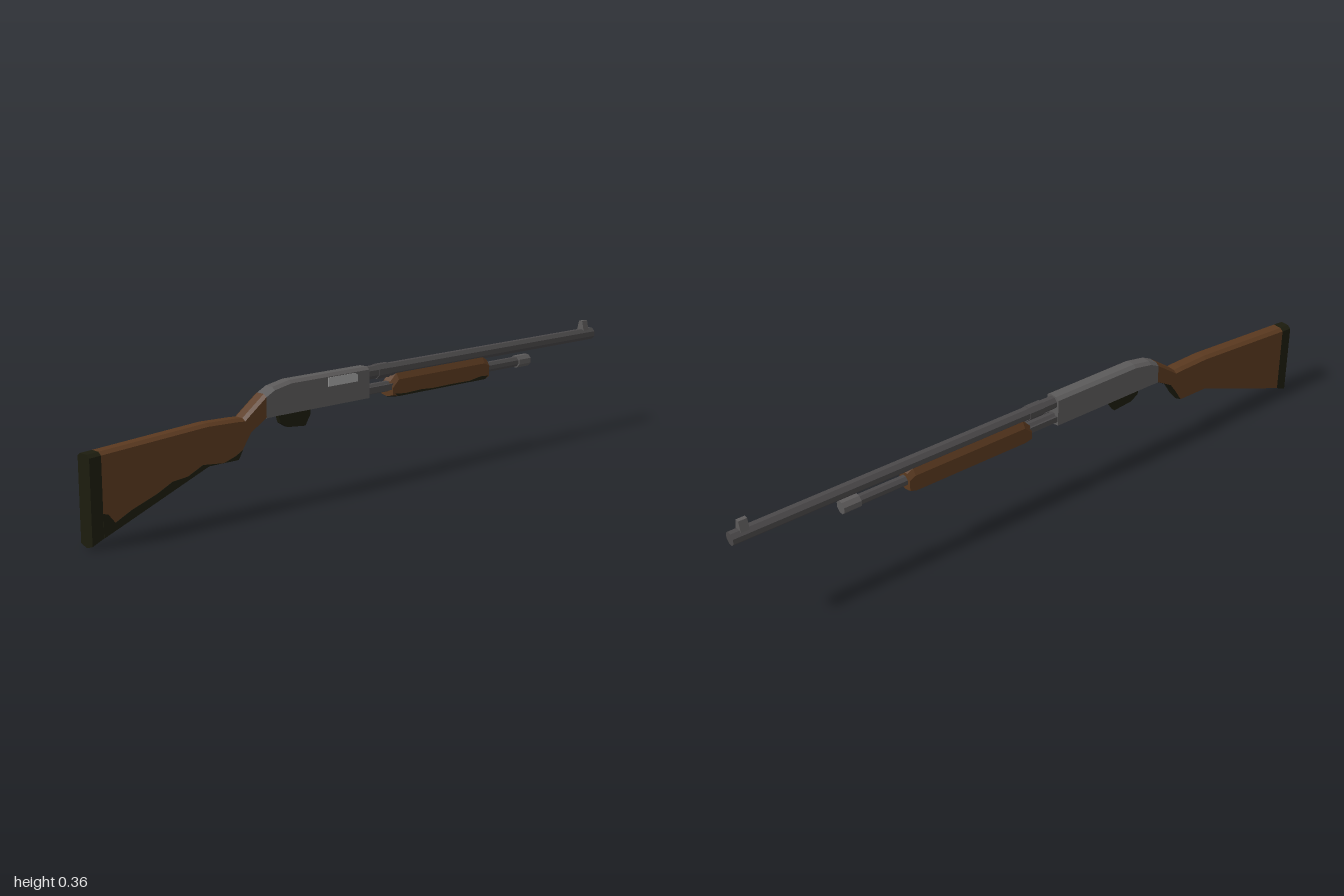
import * as THREE from 'three';

const mat = (name, color, flatShading = false) => {
  const m = new THREE.MeshStandardMaterial({ color });
  m.name = name;
  m.flatShading = flatShading;
  return m;
};

// Lofts bevelled cross-sections along x; stations are [x, bottom, top].
// Group 0 is the sides, top and ends, group 1 is the underside.
function loft(stations, halfWidth, bevelBottom, bevelTop) {
  const rings = stations.map(([x, b, t]) => {
    const w = halfWidth;
    return [
      [0, b], [w, b + bevelBottom], [w, t - bevelTop], [w * 0.55, t],
      [-w * 0.55, t], [-w, t - bevelTop], [-w, b + bevelBottom],
    ].map(([z, y]) => [x, y, z]);
  });
  const n = 7, sides = [], under = [];
  for (let i = 0; i < rings.length - 1; i++) {
    for (let j = 0; j < n; j++) {
      const k = (j + 1) % n;
      const a = rings[i][j], b = rings[i + 1][j], c = rings[i + 1][k], d = rings[i][k];
      (j === 0 || j === n - 1 ? under : sides).push(...a, ...b, ...c, ...a, ...c, ...d);
    }
  }
  const first = rings[0], last = rings[rings.length - 1];
  for (let j = 1; j < n - 1; j++) {
    sides.push(...first[0], ...first[j], ...first[j + 1]);
    sides.push(...last[0], ...last[j + 1], ...last[j]);
  }
  const geo = new THREE.BufferGeometry();
  geo.setAttribute('position', new THREE.Float32BufferAttribute([...sides, ...under], 3));
  geo.addGroup(0, sides.length / 3, 0);
  geo.addGroup(sides.length / 3, under.length / 3, 1);
  geo.computeVertexNormals();
  return geo;
}

// Flat side outline in x and y, extruded along z
function plate(points, depth, z) {
  const shape = new THREE.Shape(points.map(([x, y]) => new THREE.Vector2(x, y)));
  const geo = new THREE.ExtrudeGeometry(shape, { depth, bevelEnabled: false });
  return geo.translate(0, 0, z);
}

// Eight-sided rod lying along x
function rod(x0, x1, y, r) {
  const geo = new THREE.CylinderGeometry(r, r, x1 - x0, 8);
  return geo.rotateY(Math.PI / 8).rotateZ(-Math.PI / 2).translate((x0 + x1) / 2, y, 0);
}

export function createModel() {
  const group = new THREE.Group();
  const wood = mat('brown wood', 0x5a391f, true);
  const dark = mat('dark olive', 0x1c1c0e, true);
  const steel = mat('grey steel', 0x5c5a5a, true);
  const barrelSteel = mat('dark steel', 0x4a4849, true);
  const bright = mat('bright metal', 0xa6a6a6, true);
  const add = (name, geo, material) => {
    const mesh = new THREE.Mesh(geo, material);
    mesh.name = name;
    group.add(mesh);
    return mesh;
  };

  // Stock with butt pad
  add('stock', loft([
    [-0.965, 0.018, 0.247], [-0.63, 0.145, 0.267], [-0.53, 0.145, 0.264],
    [-0.505, 0.185, 0.262], [-0.485, 0.213, 0.277], [-0.43, 0.245, 0.317],
  ], 0.025, 0.008, 0.008), [wood, dark]);
  add('buttPad', loft([[-1, 0.003, 0.245], [-0.965, 0.018, 0.247]], 0.025, 0.008, 0.008), [dark, dark]);

  // Dark worn edges on the front side
  add('stockWear', plate([
    [-0.965, 0.026], [-0.63, 0.153], [-0.53, 0.153], [-0.515, 0.178], [-0.54, 0.165],
    [-0.58, 0.153], [-0.65, 0.16], [-0.7, 0.138], [-0.75, 0.133], [-0.8, 0.11],
    [-0.88, 0.083], [-0.93, 0.06], [-0.95, 0.085], [-0.965, 0.09],
  ], 0.001, 0.025), dark);
  add('foreEndWear', plate([
    [0.07, 0.241], [0.45, 0.241], [0.465, 0.25], [0.43, 0.252], [0.38, 0.245],
    [0.3, 0.246], [0.22, 0.245], [0.17, 0.248], [0.1, 0.246], [0.06, 0.25],
  ], 0.001, 0.025), dark);

  // Receiver and ejection port
  add('receiver', loft([
    [-0.43, 0.245, 0.317], [-0.4, 0.246, 0.332], [-0.34, 0.246, 0.343], [-0.045, 0.246, 0.343],
  ], 0.025, 0.006, 0.008), [steel, dark]);
  add('ejectionPort', plate([
    [-0.205, 0.307], [-0.09, 0.307], [-0.09, 0.325], [-0.1, 0.333], [-0.205, 0.333],
  ], 0.001, 0.025), bright);

  // Trigger guard
  add('triggerGuard', plate([
    [-0.375, 0.255], [-0.365, 0.225], [-0.34, 0.21], [-0.275, 0.204], [-0.255, 0.235], [-0.255, 0.255],
  ], 0.014, -0.007), dark);

  // Barrel, collar and magazine tube
  add('barrel', rod(-0.05, 1, 0.32, 0.02), barrelSteel);
  add('barrelCollar', rod(0, 0.05, 0.32, 0.0225), barrelSteel);
  add('magazineTube', rod(-0.05, 0.63, 0.271, 0.016), barrelSteel);
  add('magazineCap', rod(0.62, 0.675, 0.271, 0.02), steel);

  // Bars joining the fore-end to the receiver
  for (const side of [-1, 1]) {
    const bar = add('actionBar', new THREE.BoxGeometry(0.12, 0.018, 0.006), barrelSteel);
    bar.position.set(0.005, 0.271, side * 0.018);
  }

  // Sliding fore-end
  add('foreEnd', loft([
    [0.05, 0.24, 0.285], [0.075, 0.235, 0.308], [0.45, 0.235, 0.308], [0.47, 0.242, 0.298],
  ], 0.025, 0.006, 0.018), [wood, dark]);

  // Front sight, narrowing upward
  const sight = new THREE.BoxGeometry(0.026, 0.032, 0.028);
  const p = sight.attributes.position;
  for (let i = 0; i < p.count; i++) if (p.getY(i) > 0) p.setZ(i, p.getZ(i) * 0.45);
  sight.computeVertexNormals();
  add('frontSight', sight.translate(0.961, 0.35, 0), steel);

  return group;
}
